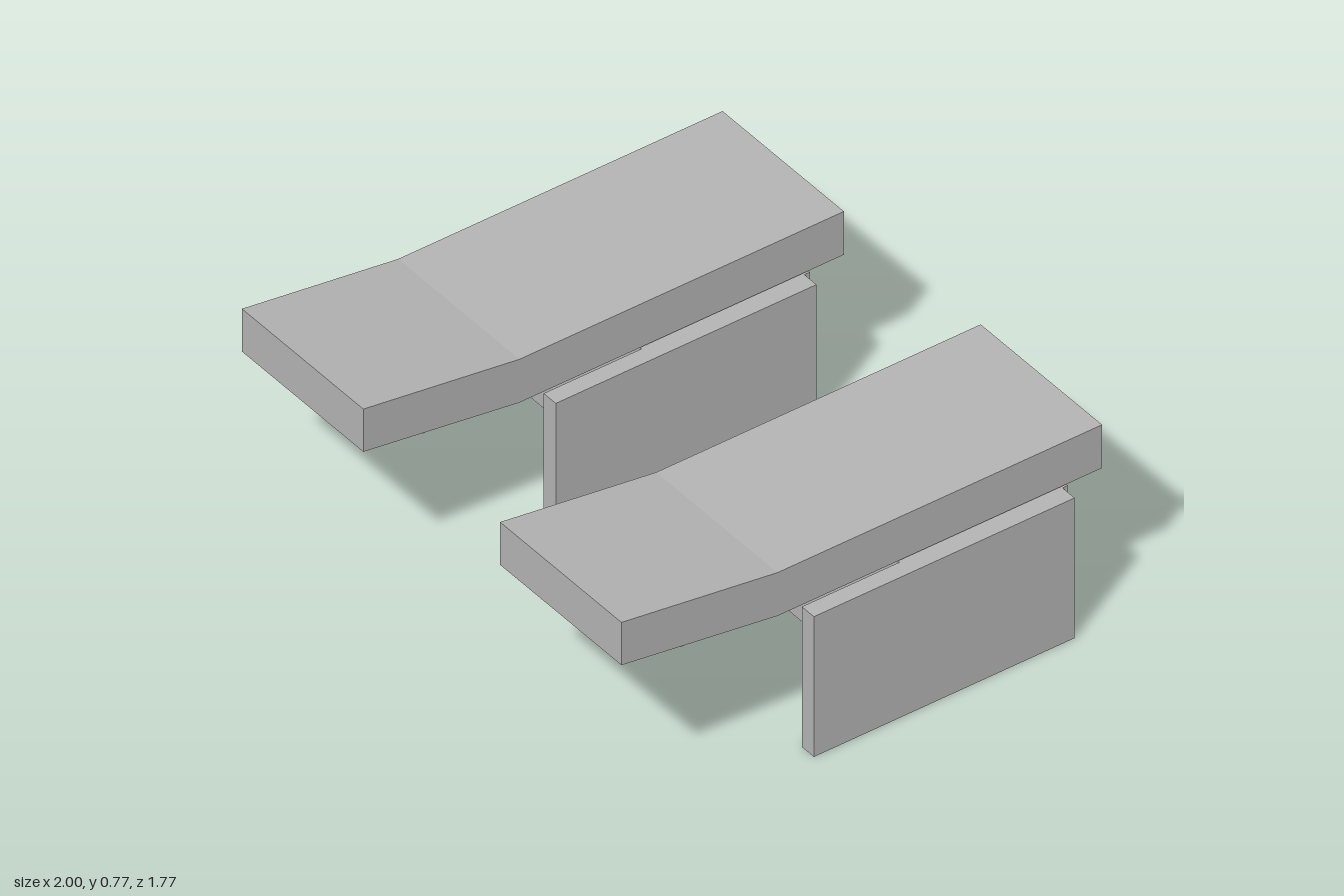
import * as THREE from 'three';

export function createModel() {
  const model = new THREE.Group();
  model.name = 'loungerPair';
  const grey = new THREE.MeshStandardMaterial({ color: 0xb4b4b4 });
  grey.name = 'plain grey';

  const add = (parent, name, geometry, x, y, z) => {
    const mesh = new THREE.Mesh(geometry, grey);
    mesh.name = name;
    mesh.position.set(x, y, z);
    parent.add(mesh);
  };

  // Side profile of the bent slab, drawn in (z, y) and extruded across x
  const profile = new THREE.Shape([
    [-0.885, 0.533], [0.31, 0.533], [0.885, 0.615],
    [0.885, 0.775], [0.31, 0.695], [-0.885, 0.695],
  ].map(([z, y]) => new THREE.Vector2(-z, y)));
  const width = 0.602;
  const slab = new THREE.ExtrudeGeometry(profile, { depth: width, bevelEnabled: false });
  slab.translate(0, 0, -width / 2);
  slab.rotateY(Math.PI / 2);

  const panel = new THREE.BoxGeometry(0.06, 0.525, 0.96);
  const block = new THREE.BoxGeometry(0.6, 0.525, 0.62);

  for (const side of [-1, 1]) {
    const lounger = new THREE.Group();
    lounger.name = side < 0 ? 'rightLounger' : 'leftLounger';
    lounger.position.x = side * 0.64;
    // Bed with raised front end
    add(lounger, 'bedSlab', slab, 0, 0, 0);
    // Solid base at the rear, between two longer side panels
    add(lounger, 'baseBlock', block, 0, 0.2625, -0.45);
    add(lounger, 'rightPanel', panel, -0.33, 0.2625, -0.26);
    add(lounger, 'leftPanel', panel, 0.33, 0.2625, -0.26);
    model.add(lounger);
  }
  return model;
}
